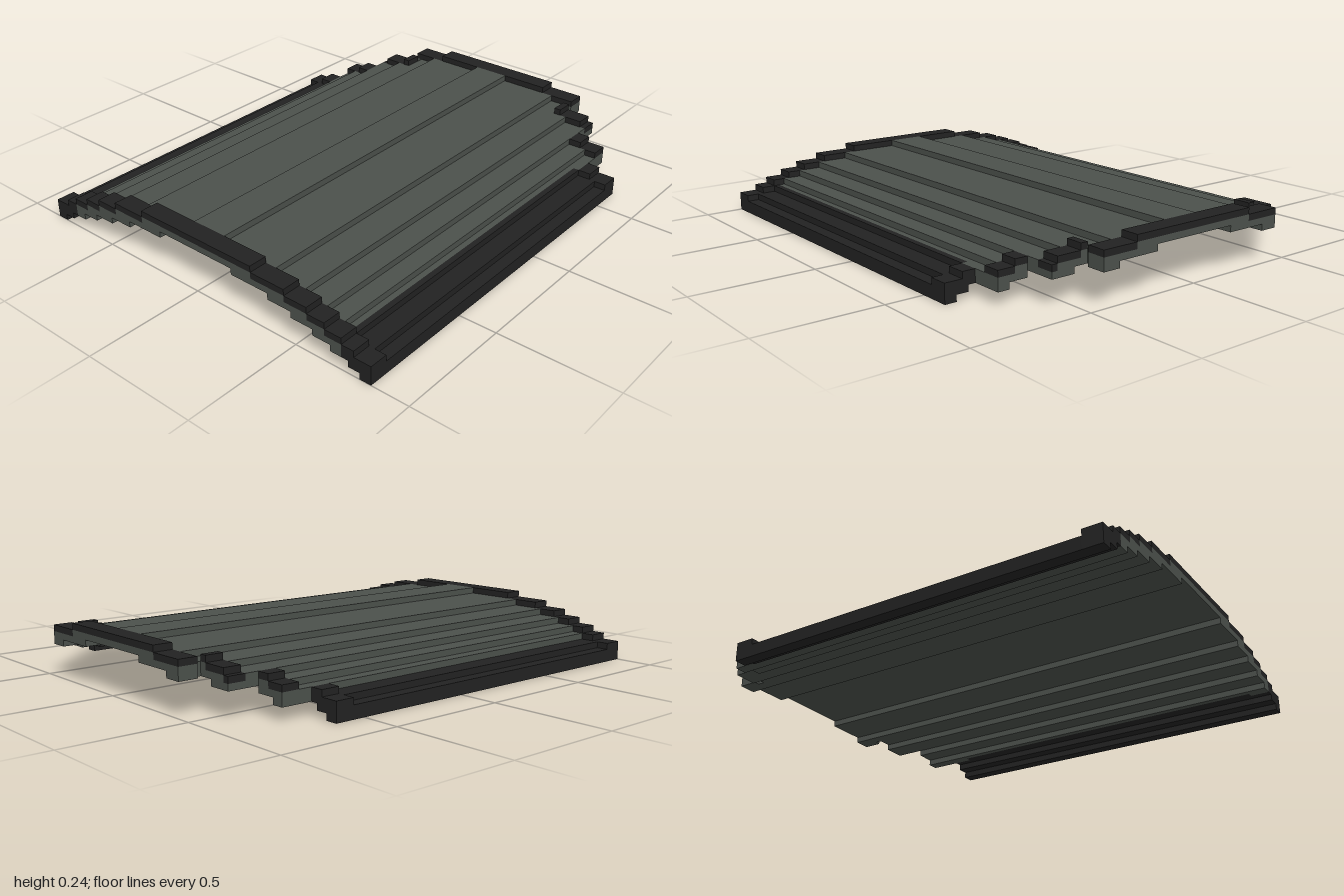
import * as THREE from 'three';

// Stepped profiles: [outer |z| of the step, height]
const U = 0.0263; // height of one step
const steps = (...list) => list.map(([z, n]) => [z, n * U]);
const RIM_TOP = steps([0.29, 9], [0.45, 8], [0.555, 7], [0.635, 6], [0.71, 5], [0.765, 4], [0.84, 3]);
const RIM_UNDER = RIM_TOP.map(([z, y]) => [z, y - U]);
const PANEL_TOP = steps([0.08, 9], [0.34, 8], [0.48, 7], [0.58, 6], [0.66, 5], [0.71, 4], [0.79, 3], [0.84, 2]);
const UNDERSIDE = steps([0.19, 7], [0.37, 6], [0.48, 5], [0.58, 4], [0.66, 3], [0.74, 2], [0.79, 1], [0.84, 0]);

const levelAt = (profile, z) => (profile.find(([edge]) => Math.abs(z) < edge) || profile[profile.length - 1])[1];

// Staircase line across z0..z1
function stairs(profile, z0, z1) {
  const cuts = profile.flatMap(([z]) => [-z, z]).filter(z => z > z0 + 1e-4 && z < z1 - 1e-4);
  const zs = [z0, ...cuts.sort((a, b) => a - b), z1];
  const points = [];
  for (let i = 0; i < zs.length - 1; i++) {
    const y = levelAt(profile, (zs[i] + zs[i + 1]) / 2);
    points.push(new THREE.Vector2(zs[i], y), new THREE.Vector2(zs[i + 1], y));
  }
  return points;
}

export function createModel() {
  const group = new THREE.Group();
  const panelMat = new THREE.MeshStandardMaterial({ color: 0x4b504b });
  panelMat.name = 'grey panel';
  const rimMat = new THREE.MeshStandardMaterial({ color: 0x222222 });
  rimMat.name = 'dark rim';

  // Slab between two stepped profiles, running along x
  function slab(name, material, x0, x1, z0, z1, top, bottom) {
    const outline = [...stairs(bottom, z0, z1), ...stairs(top, z0, z1).reverse()];
    const geo = new THREE.ExtrudeGeometry(new THREE.Shape(outline), { depth: x1 - x0, bevelEnabled: false });
    geo.rotateY(-Math.PI / 2).translate(x1, 0, 0);
    const mesh = new THREE.Mesh(geo, material);
    mesh.name = name;
    group.add(mesh);
  }

  // Rim cap with the panel continuing beneath it
  function cappedEnd(name, x0, x1, z0, z1) {
    slab(name + 'Rim', rimMat, x0, x1, z0, z1, RIM_TOP, RIM_UNDER);
    slab(name + 'Base', panelMat, x0, x1, z0, z1, RIM_UNDER, UNDERSIDE);
  }

  // Central panel and its two end caps
  slab('centrePanel', panelMat, -0.92, 0.92, -0.42, 0.42, PANEL_TOP, UNDERSIDE);
  cappedEnd('straightEnd', -1, -0.92, -0.71, 0.71);
  cappedEnd('tipEnd', 0.92, 1, -0.445, 0.445);

  // Mirrored side bands, each shorter than the one before
  for (const side of [1, -1]) {
    const label = side > 0 ? 'front' : 'back';
    const span = (a, b) => (side > 0 ? [a, b] : [-b, -a]);
    const inner = side > 0 ? 0.685 : 0.71; // dark bar is wider at the front

    slab(label + 'MiddlePanel', panelMat, -0.92, 0.815, ...span(0.42, 0.58), PANEL_TOP, UNDERSIDE);
    cappedEnd(label + 'MiddleEnd', 0.815, 0.89, ...span(0.42, 0.58));

    slab(label + 'OuterPanel', panelMat, -0.92, 0.55, ...span(0.58, inner), PANEL_TOP, UNDERSIDE);
    slab(label + 'OuterPanelTip', panelMat, 0.55, 0.685, ...span(0.58, 0.71), PANEL_TOP, UNDERSIDE);
    cappedEnd(label + 'OuterEnd', 0.685, 0.76, ...span(0.58, 0.71));

    // Dark edge bar with raised corners
    slab(label + 'EdgeBar', rimMat, -0.92, 0.55, ...span(inner, 0.84), PANEL_TOP, UNDERSIDE);
    slab(label + 'StraightCorner', rimMat, -1, -0.92, ...span(0.71, 0.84), RIM_TOP, UNDERSIDE);
    slab(label + 'TipCorner', rimMat, 0.55, 0.63, ...span(0.71, 0.84), RIM_TOP, UNDERSIDE);
  }
  return group;
}
